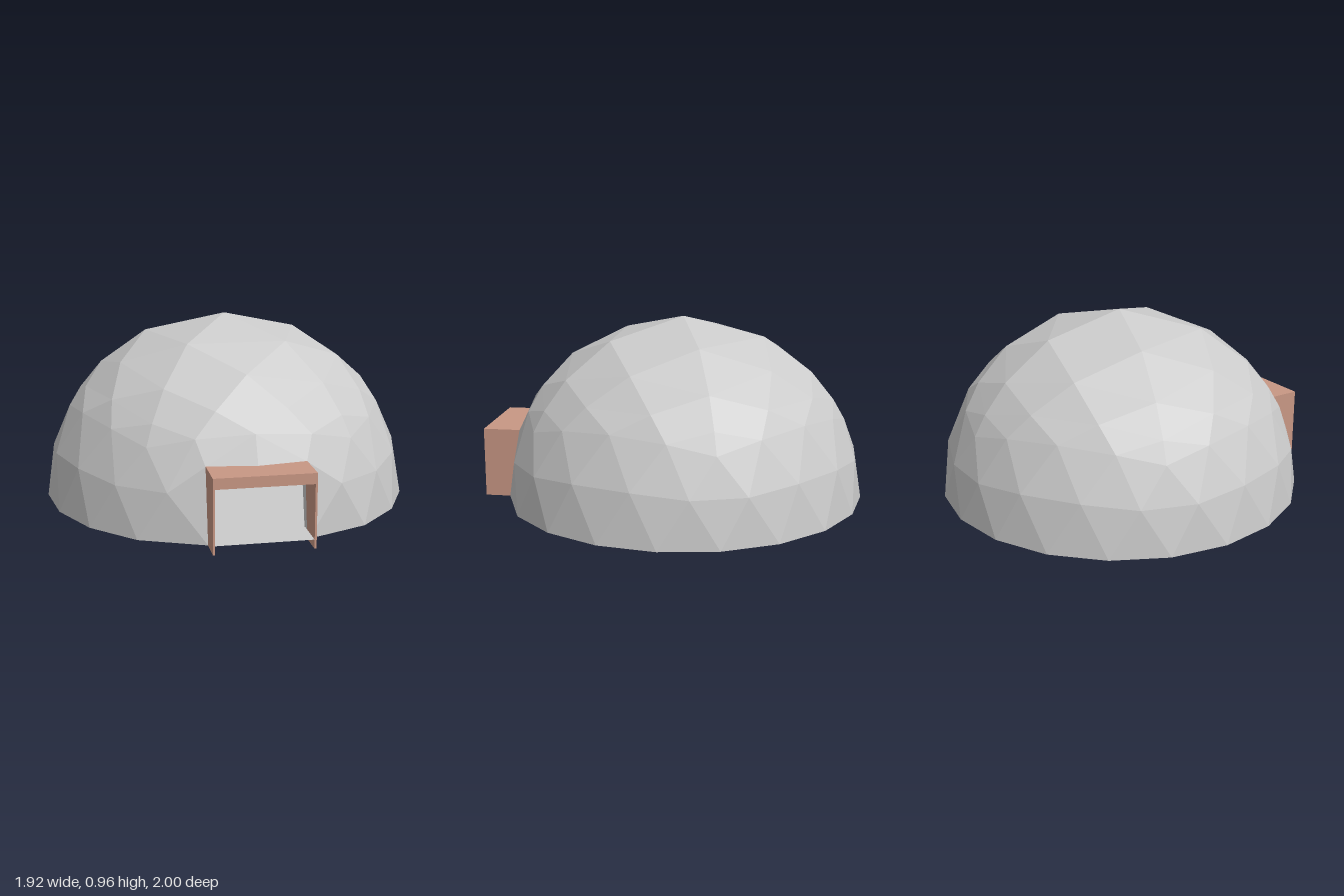
import * as THREE from 'three';

const R = 0.96, CENTRE_Z = -0.04, FLOOR_Y = 0.045;
const grey = () => new THREE.MeshStandardMaterial({ color: 0xcccccc, flatShading: true, side: THREE.DoubleSide });
const clay = new THREE.MeshStandardMaterial({ color: 0xc89784, flatShading: true });
const key = (v) => [v.x, v.y, v.z].map((n) => Math.round(n * 1000) + 0).join();

function mesh(name, geometry, material) {
  const m = new THREE.Mesh(geometry, material);
  m.name = name;
  return m;
}

// Four-frequency geodesic sphere with a vertex at the top and one at the back
function geodesicTriangles() {
  const verts = [0, 1, 0];
  for (const [h, start] of [[1, 36], [-1, 0]]) {
    for (let k = 0; k < 5; k++) {
      const a = THREE.MathUtils.degToRad(start + 72 * k);
      verts.push(2 * Math.sin(a), h, 2 * Math.cos(a));
    }
  }
  const faces = [];
  for (let k = 0; k < 5; k++) {
    const n = (k + 1) % 5;
    faces.push(0, 1 + k, 1 + n, 1 + k, 6 + n, 1 + n, 1 + k, 6 + k, 6 + n);
  }
  const pos = new THREE.PolyhedronGeometry(verts, faces, R, 3).getAttribute('position');
  const tris = [];
  for (let i = 0; i < pos.count; i += 3) {
    tris.push([0, 1, 2].map((j) => new THREE.Vector3().fromBufferAttribute(pos, i + j)));
  }
  return tris;
}

// Upper half, with the front facets pulled aside into a doorway
const lintelMid = new THREE.Vector3(0, 0.365, 0.88);
const isLintel = (v) => Math.abs(v.y - 0.365) < 0.001 && v.z > 0.8 && Math.abs(v.x) < 0.3;
function outerTriangles() {
  const front = new THREE.Vector3(0, 0, R);
  const reshape = (v) => {
    const s = Math.sign(v.x), p = new THREE.Vector3(Math.abs(v.x), v.y, v.z);
    if (p.distanceTo(new THREE.Vector3(0.297, 0, 0.913)) < 0.03) return new THREE.Vector3(s * 0.245, 0, 0.908);
    if (p.distanceTo(new THREE.Vector3(0.156, 0.265, 0.909)) < 0.03) return new THREE.Vector3(s * 0.245, 0.365, 0.845);
    return v;
  };
  const out = [];
  for (const raw of geodesicTriangles()) {
    if (raw[0].y + raw[1].y + raw[2].y < 0.03) continue;
    if (raw.some((v) => v.distanceTo(front) < 0.03)) continue;
    const t = raw.map(reshape);
    const top = t.findIndex((v) => !isLintel(v));
    if (t.filter(isLintel).length === 2) {
      const [a, b, c] = [t[top], t[(top + 1) % 3], t[(top + 2) % 3]];
      out.push([a, b, lintelMid], [a, lintelMid, c]);
    } else out.push(t);
  }
  return out;
}

// Matching point on the inside of the wall
function inner(v) {
  const p = v.clone().multiplyScalar(0.95);
  if (v.y < 0.01) p.y = FLOOR_Y;
  if (isLintel(v)) p.y = Math.abs(v.x) < 0.01 ? 0.315 : 0.295;
  return p;
}

// Outer skin, inner skin and the rim joining their open edges
function domeGeometry() {
  const skin = outerTriangles(), all = [], edges = new Map();
  for (const [a, b, c] of skin) {
    all.push(a, b, c, inner(a), inner(c), inner(b));
    for (const [p, q] of [[a, b], [b, c], [c, a]]) edges.set(key(p) + '|' + key(q), [p, q]);
  }
  for (const [p, q] of edges.values()) {
    if (edges.has(key(q) + '|' + key(p))) continue;
    all.push(q, p, inner(p), q, inner(p), inner(q));
  }
  const g = new THREE.BufferGeometry().setFromPoints(all);
  g.computeVertexNormals();
  return g;
}

// Floor plate following the wall, with a tongue out to the porch front
function floorGeometry() {
  const pts = [new THREE.Vector2(0.235, 1 - CENTRE_Z), new THREE.Vector2(0.235, 0.863)];
  for (let i = 2; i <= 18; i++) {
    const a = (i * Math.PI) / 10;
    pts.push(new THREE.Vector2(Math.sin(a), Math.cos(a)).multiplyScalar(R * 0.95));
  }
  pts.push(new THREE.Vector2(-0.235, 0.863), new THREE.Vector2(-0.235, 1 - CENTRE_Z));
  return new THREE.ShapeGeometry(new THREE.Shape(pts)).rotateX(Math.PI / 2);
}

function extrude(points, depth) {
  const shape = new THREE.Shape(points.map(([x, y]) => new THREE.Vector2(x, y)));
  return new THREE.ExtrudeGeometry(shape, { depth, bevelEnabled: false });
}

export function createModel() {
  const model = new THREE.Group();
  model.name = 'domeShelter';

  const dome = mesh('domeShell', domeGeometry(), grey());
  dome.position.z = CENTRE_Z;
  const floor = mesh('floor', floorGeometry(), grey());
  floor.position.set(0, FLOOR_Y, CENTRE_Z);
  model.add(dome, floor);

  // Porch: roof slab notched to the dome, and two thin side walls
  const porch = new THREE.Group();
  porch.name = 'porch';
  const roof = extrude([[-0.245, 1], [-0.245, 0.805], [0, 0.84], [0.245, 0.805], [0.245, 1]], 0.053);
  roof.rotateX(Math.PI / 2).translate(0, 0.368, 0);
  porch.add(mesh('porchRoof', roof, clay));
  for (const [name, x] of [['leftPorchWall', 0.235], ['rightPorchWall', -0.245]]) {
    const wall = extrude([[-1, 0], [-0.868, 0], [-0.815, 0.316], [-1, 0.316]], 0.01);
    wall.rotateY(Math.PI / 2).translate(x, 0, 0);
    porch.add(mesh(name, wall, clay));
  }
  model.add(porch);
  return model;
}
